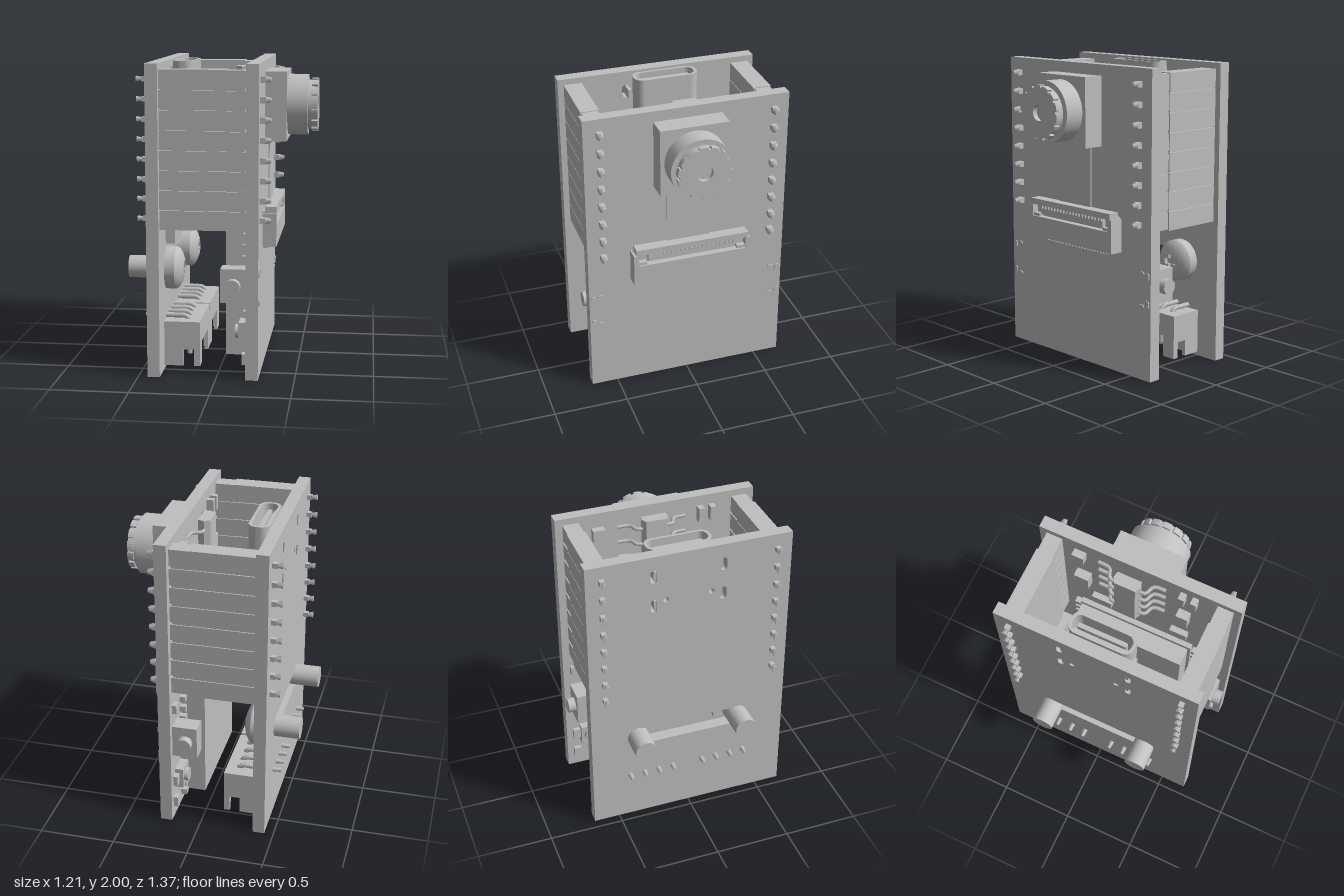
import * as THREE from 'three';
import { mergeVertices, toCreasedNormals } from 'three/addons/utils/BufferGeometryUtils.js';

export function createModel() {
  const model = new THREE.Group();
  model.name = 'circuitBoardStack';
  const grey = new THREE.MeshStandardMaterial({ color: 0xbfbfbf });
  grey.name = 'plain grey';

  const add = (name, geo, x = 0, y = 0, z = 0) => {
    const m = new THREE.Mesh(geo, grey);
    m.name = name;
    m.position.set(x, y, z);
    model.add(m);
    return m;
  };
  // Box given by its limits
  const box = (name, x0, x1, y0, y1, z0, z1) =>
    add(name, new THREE.BoxGeometry(x1 - x0, y1 - y0, z1 - z0), (x0 + x1) / 2, (y0 + y1) / 2, (z0 + z1) / 2);
  // Cylinder along x, radius r0 at x0 and r1 at x1
  const rodX = (name, x0, x1, r0, r1, y, z, seg = 40, turn = 0) => {
    const g = new THREE.CylinderGeometry(r1, r0, x1 - x0, seg);
    g.rotateY(turn).rotateZ(-Math.PI / 2);
    return add(name, g, (x0 + x1) / 2, y, z);
  };
  // Outline in (z, y), extruded from x0 to x1
  const plateX = (name, shape, x0, x1, curveSegments = 16) => {
    const g = new THREE.ExtrudeGeometry(shape, { depth: x1 - x0, bevelEnabled: false, curveSegments });
    g.rotateY(-Math.PI / 2);
    return add(name, g, x1, 0, 0);
  };
  // Rounded rectangle path centred on (cx, cy)
  const rounded = (P, cx, cy, w, h, r) => {
    const p = new P(), a = w / 2 - r, b = h / 2 - r;
    p.absarc(cx + a, cy + b, r, 0, Math.PI / 2);
    p.absarc(cx - a, cy + b, r, Math.PI / 2, Math.PI);
    p.absarc(cx - a, cy - b, r, Math.PI, Math.PI * 1.5);
    p.absarc(cx + a, cy - b, r, Math.PI * 1.5, Math.PI * 2);
    p.closePath();
    return p;
  };
  const rect = (w, y0, y1) => new THREE.Shape([
    new THREE.Vector2(-w, y0), new THREE.Vector2(w, y0), new THREE.Vector2(w, y1), new THREE.Vector2(-w, y1)]);

  // Two boards; the power board has a strap slot and socket holes
  const power = rect(0.675, 0, 2);
  power.holes.push(rounded(THREE.Path, 0, 0.65, 0.8, 0.13, 0.03));
  for (const s of [-1, 1]) {
    for (const y of [1.86, 1.65]) power.holes.push(rounded(THREE.Path, -0.01 + s * 0.23, y, 0.04, 0.09, 0.019));
    power.holes.push(rounded(THREE.Path, -0.01 + s * 0.15, 1.68, 0.036, 0.036, 0.017));
  }
  plateX('powerBoard', power, -0.44, -0.36);
  plateX('mainBoard', rect(0.678, 0, 2), 0.19, 0.27);

  // Stacked header strips and their pins
  for (const s of [-1, 1]) {
    const zc = s * 0.575;
    for (let i = 0; i < 8; i++) {
      const y = 1.9 - i * 0.1264;
      box('headerSocket', -0.36, 0.065, y - 0.061, y + 0.061, zc - 0.06, zc + 0.06);
      box('headerBase', 0.065, 0.19, y - 0.052, y + 0.056, zc - 0.053, zc + 0.053);
      box('headerPin', 0.27, 0.305, y - 0.019, y + 0.019, zc - 0.019, zc + 0.019);
      rodX('headerPinTip', 0.305, 0.34, 0.027, 0.017, y, zc, 4, Math.PI / 4);
      box('headerTail', -0.475, -0.44, y - 0.016, y + 0.016, zc - 0.016, zc + 0.016);
      rodX('headerTailTip', -0.508, -0.475, 0.023, 0.014, y, zc, 4, Math.PI / 4);
    }
    box('headerSpine', -0.35, 0.18, 0.96, 1.95, zc - 0.045, zc + 0.045);
  }

  // Camera: block, barrel, notched focus ring with a centre hole
  box('cameraBlock', 0.27, 0.41, 1.476, 1.928, -0.227, 0.227);
  rodX('lensBarrel', 0.41, 0.54, 0.2, 0.2, 1.7, 0, 64);
  rodX('lensNeck', 0.54, 0.572, 0.163, 0.163, 1.7, 0, 48);
  const ring = new THREE.Shape(), teeth = 14;
  for (let i = 0; i < teeth; i++) {
    const a = (i / teeth) * Math.PI * 2, d = (Math.PI * 2) / teeth;
    for (const [f, r] of [[0, 0.176], [0.25, 0.177], [0.5, 0.177], [0.72, 0.176], [0.74, 0.163], [0.98, 0.163]]) {
      const x = Math.cos(a + f * d) * r, y = 1.7 + Math.sin(a + f * d) * r;
      if (i === 0 && f === 0) ring.moveTo(x, y); else ring.lineTo(x, y);
    }
  }
  ring.closePath();
  ring.holes.push(new THREE.Path().absarc(0, 1.7, 0.052, 0, Math.PI * 2, true));
  plateX('focusRing', ring, 0.565, 0.605, 24);
  box('ribbonCable', 0.287, 0.295, 1.05, 1.48, -0.15, 0.15);

  // Ribbon connector with open slot, contacts and solder legs
  const cz = -0.01;
  box('connectorBody', 0.27, 0.36, 0.81, 0.95, cz - 0.402, cz + 0.402);
  box('connectorBack', 0.27, 0.315, 0.95, 1.04, cz - 0.39, cz + 0.39);
  box('connectorLatch', 0.285, 0.36, 1.03, 1.07, cz - 0.385, cz + 0.385);
  for (const s of [-1, 1]) {
    box('connectorEnd', 0.27, 0.36, 0.95, 1.03, cz + s * 0.385 - 0.017, cz + s * 0.385 + 0.017);
    box('connectorLug', 0.315, 0.35, 0.95, 0.97, cz + s * 0.34 - 0.028, cz + s * 0.34 + 0.028);
  }
  box('connectorTongue', 0.315, 0.34, 0.965, 1.01, cz - 0.3, cz + 0.3);
  for (let i = 0; i < 20; i++) {
    const z = cz + (i - 9.5) * 0.0305;
    box('connectorContact', 0.315, 0.35, 1.005, 1.03, z - 0.008, z + 0.008);
    box('connectorLeg', 0.27, 0.3, 0.78, 0.82, z - 0.005, z + 0.005);
  }

  // Side push buttons with tabs through the board
  for (const s of [-1, 1]) {
    box('buttonBody', 0.025, 0.19, 0.49, 0.71, s * 0.575 - 0.06, s * 0.575 + 0.06);
    const cap = new THREE.CylinderGeometry(0.05, 0.05, 0.06, 32);
    cap.rotateX(Math.PI / 2);
    add('buttonCap', cap, 0.105, 0.6, s * 0.655);
    for (const [y, z, w, h] of [[0.69, 0.65, 0.03, 0.05], [0.505, 0.65, 0.03, 0.05], [0.705, 0.6, 0.042, 0.025], [0.49, 0.6, 0.042, 0.025]])
      plateX('buttonTab', rounded(THREE.Shape, s * z, y, w, h, 0.012), 0.26, 0.278, 6);
  }

  // Radio module with edge contacts
  box('moduleBoard', 0.155, 0.19, 0.06, 1.15, -0.41, 0.4);
  box('moduleCover', 0.032, 0.155, 0.08, 1.12, -0.4, 0.38);
  for (const s of [-1, 1])
    for (let i = 0; i < 15; i++)
      box('moduleContact', 0.15, 0.19, 0.06 + i * 0.073, 0.1 + i * 0.073, s * 0.43 - 0.022, s * 0.43 + 0.022);

  // Gull-wing chip near the top of the main board
  const chip = new THREE.CylinderGeometry(0.01, 0.01, 0.01, 4);
  chip.dispose();
  const body = new THREE.Shape([[0.062, -0.11], [0.062, 0.03], [0.1, 0.05], [0.14, 0.04], [0.14, -0.12], [0.1, -0.13]]
    .map(([x, z]) => new THREE.Vector2(x, -z)));
  const chipGeo = new THREE.ExtrudeGeometry(body, { depth: 0.45, bevelEnabled: false });
  chipGeo.rotateX(-Math.PI / 2);
  add('chipBody', chipGeo, 0, 1.5, 0);
  for (const s of [-1, 1])
    for (let i = 0; i < 4; i++) {
      const path = new THREE.CatmullRomCurve3([[0.1, 0.08], [0.105, 0.12], [0.165, 0.15], [0.175, 0.23]]
        .map(([x, z]) => new THREE.Vector3(x, 1.555 + i * 0.11, -0.04 + s * z)));
      add('chipLeg', new THREE.TubeGeometry(path, 10, 0.013, 6));
    }

  // Small parts on the inside of the main board
  for (const [y, z, h, w, d] of [[1.88, 0.3, 0.1, 0.04, 0.05], [1.88, 0.38, 0.1, 0.04, 0.05], [1.86, -0.4, 0.08, 0.08, 0.05],
    [1.6, 0.32, 0.14, 0.08, 0.06], [1.55, -0.38, 0.14, 0.1, 0.06], [1.3, 0.3, 0.08, 0.12, 0.04], [1.3, -0.25, 0.08, 0.14, 0.04],
    [0.835, -0.6, 0.06, 0.06, 0.03], [0.285, -0.61, 0.07, 0.05, 0.03], [0.12, -0.61, 0.07, 0.05, 0.03], [0.12, 0.6, 0.07, 0.05, 0.03]])
    box('smallPart', 0.19 - d, 0.19, y - h / 2, y + h / 2, z - w / 2, z + w / 2);
  for (const s of [-1, 1]) {
    box('tinySwitch', 0.135, 0.19, 0.21, 0.35, s * 0.52 - 0.065, s * 0.52 + 0.065);
    rodX('tinySwitchCap', 0.11, 0.135, 0.045, 0.045, 0.28, s * 0.52, 24);
  }

  // Upright oval socket with a tongue
  const shell = rounded(THREE.Shape, -0.275, 0.025, 0.142, 0.43, 0.06);
  shell.holes.push(rounded(THREE.Path, -0.275, 0.025, 0.105, 0.39, 0.045));
  const shellGeo = new THREE.ExtrudeGeometry(shell, { depth: 0.39, bevelEnabled: false });
  shellGeo.rotateX(-Math.PI / 2);
  add('socketShell', shellGeo, 0, 1.6, 0);
  box('socketFloor', -0.335, -0.215, 1.6, 1.72, -0.22, 0.17);
  box('socketMount', -0.36, -0.3, 1.6, 1.95, -0.2, 0.15);
  const tongue = new THREE.ExtrudeGeometry(rounded(THREE.Shape, -0.275, 0.025, 0.03, 0.33, 0.0145), { depth: 0.28, bevelEnabled: false });
  tongue.rotateX(-Math.PI / 2);
  add('socketTongue', tongue, 0, 1.68, 0);
  for (const s of [-1, 1])
    for (const y of [1.86, 1.65])
      box('socketLeg', -0.43, -0.3, y - 0.03, y + 0.03, -0.01 + s * 0.215 - 0.012, -0.01 + s * 0.215 + 0.012);

  // Domed cross-head screws
  for (const zc of [-0.355, 0.345]) {
    rodX('screwShaft', -0.607, -0.36, 0.073, 0.073, 0.65, zc, 48);
    const pts = [[0, 0], [0.14, 0], [0.14, 0.065], [0.128, 0.082], [0.1, 0.1], [0.06, 0.114], [0.05, 0.116], [0.05, 0.09], [0, 0.09]];
    const head = toCreasedNormals(mergeVertices(new THREE.LatheGeometry(pts.map(([r, h]) => new THREE.Vector2(r, h)), 48)), 0.5);
    head.rotateZ(-Math.PI / 2);
    add('screwHead', head, -0.36, 0.65, zc);
    for (let i = 0; i < 4; i++) {
      const wedge = new THREE.BoxGeometry(0.03, 0.03, 0.03);
      wedge.translate(0, 0.034, 0.034).rotateX((i * Math.PI) / 2);
      add('screwCrossCorner', wedge, -0.262, 0.65, zc);
    }
  }
  box('smallSensor', -0.36, -0.3, 0.82, 0.95, 0.28, 0.4);

  // Right-angle plug sockets, open at the bottom, with bent pins
  for (const zc of [-0.265, 0.245]) {
    const z0 = zc - 0.245, z1 = zc + 0.245;
    box('plugTop', -0.36, -0.125, 0.24, 0.32, z0, z1);
    box('plugBackWall', -0.36, -0.335, 0.025, 0.24, z0, z1);
    for (const z of [z0, z1 - 0.025]) {
      box('plugSideWall', -0.335, -0.235, 0.025, 0.24, z, z + 0.025);
      box('plugSideBridge', -0.235, -0.165, 0.135, 0.24, z, z + 0.025);
      box('plugSidePost', -0.165, -0.125, 0.025, 0.24, z, z + 0.025);
    }
    for (const [a, b] of [[z0 + 0.025, z0 + 0.1], [z1 - 0.1, z1 - 0.025]])
      box('plugFrontWall', -0.15, -0.125, 0.025, 0.24, a, b);
    box('plugFrontLip', -0.15, -0.125, 0.17, 0.24, z0 + 0.1, z1 - 0.1);
    for (let i = 0; i < 4; i++) {
      const z = zc + (i - 1.5) * 0.1;
      const path = new THREE.CatmullRomCurve3([[-0.44, 0.34], [-0.3, 0.34], [-0.235, 0.338], [-0.207, 0.315], [-0.205, 0.28], [-0.205, 0.085]]
        .map(([x, y]) => new THREE.Vector3(x, y, z)));
      add('plugPin', new THREE.TubeGeometry(path, 24, 0.017, 8));
      rodX('plugPinTail', -0.495, -0.43, 0.012, 0.018, 0.34, z, 8);
    }
  }
  return model;
}
